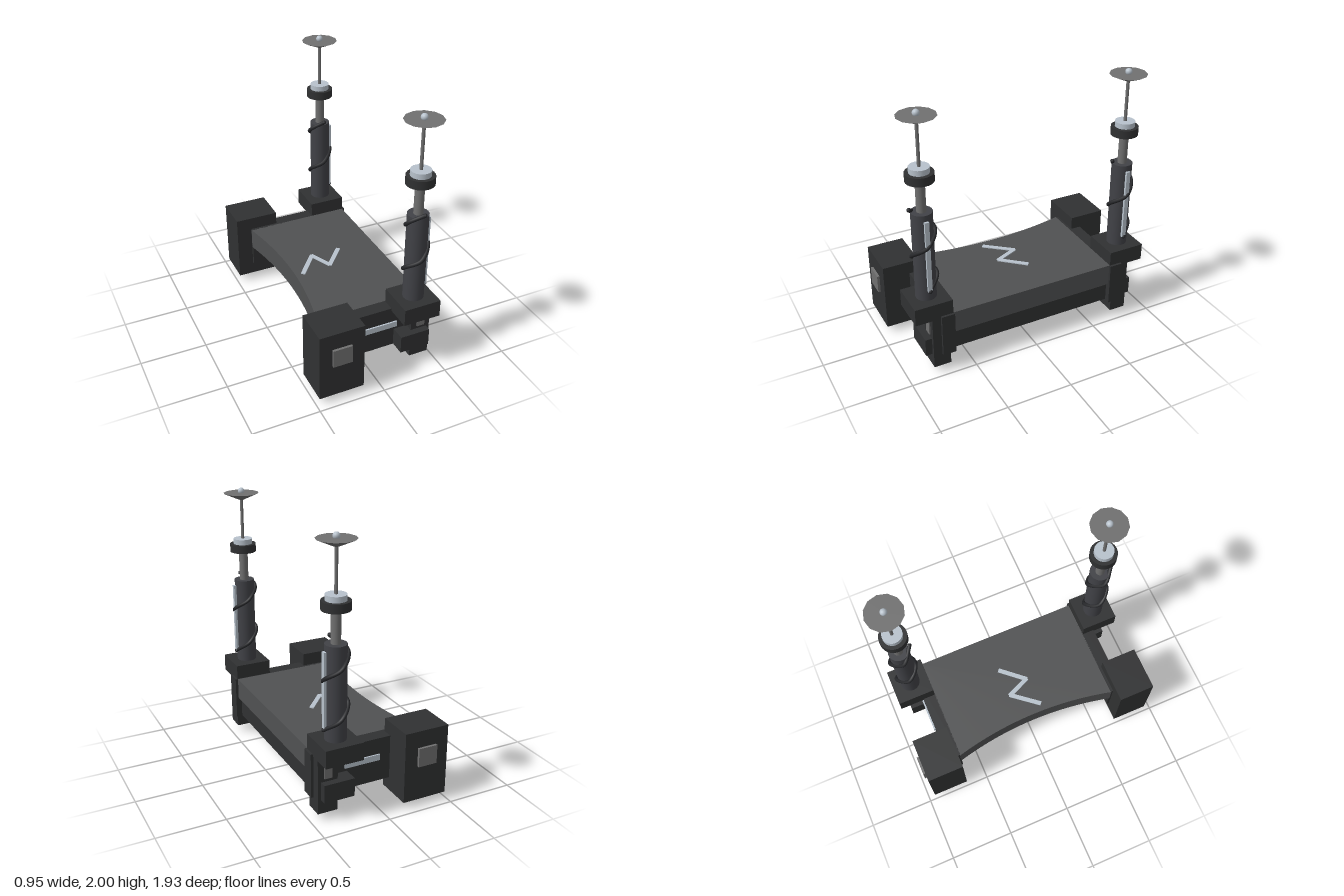
import * as THREE from 'three';

const mat = (color, flatShading = false) => new THREE.MeshStandardMaterial({ color, flatShading });
const dark = mat(0x303132);
const deckGrey = mat(0x505152);
const midGrey = mat(0x707070);
const dishGrey = mat(0x707070, true);
const mastGrey = mat(0x414247);
const light = mat(0xb8c2cc);
const cableBlack = mat(0x26272a);

function add(parent, name, geometry, material, x = 0, y = 0, z = 0) {
  const mesh = new THREE.Mesh(geometry, material);
  mesh.name = name;
  mesh.position.set(x, y, z);
  parent.add(mesh);
  return mesh;
}

// Box given by its limits on each axis
function block(parent, name, material, [x0, x1], [y0, y1], [z0, z1]) {
  return add(parent, name, new THREE.BoxGeometry(x1 - x0, y1 - y0, Math.abs(z1 - z0)), material,
    (x0 + x1) / 2, (y0 + y1) / 2, (z0 + z1) / 2);
}

// Upright cylinder between two heights
function tube(parent, name, material, rTop, rBottom, y0, y1, sides) {
  return add(parent, name, new THREE.CylinderGeometry(rTop, rBottom, y1 - y0, sides), material, 0, (y0 + y1) / 2, 0);
}

// Deck plate with a concave rear edge
function deckGeometry() {
  const shape = new THREE.Shape();
  shape.moveTo(0.455, -0.65);
  shape.lineTo(0.455, 0.65);
  shape.lineTo(-0.365, 0.65);
  shape.quadraticCurveTo(-0.205, 0, -0.365, -0.65);
  shape.closePath();
  const g = new THREE.ExtrudeGeometry(shape, { depth: 0.165, bevelEnabled: false, curveSegments: 24 });
  return g.rotateX(Math.PI / 2).translate(0, 0.49, 0);
}

// Mast with telescoping sections, dish and wound cable
function createMast() {
  const mast = new THREE.Group();
  tube(mast, 'mastTube', mastGrey, 0.076, 0.076, 0.6, 1.275, 24);
  tube(mast, 'upperTube', midGrey, 0.034, 0.034, 1.275, 1.505, 20);
  tube(mast, 'collar', dark, 0.1, 0.1, 1.503, 1.565, 24);
  tube(mast, 'collarRing', light, 0.072, 0.072, 1.565, 1.605, 24);
  tube(mast, 'antennaRod', midGrey, 0.012, 0.012, 1.605, 1.95, 12);
  tube(mast, 'dish', dishGrey, 0.135, 0, 1.9, 1.96, 12);
  add(mast, 'antennaTip', new THREE.SphereGeometry(0.025, 16, 12), light, 0, 1.975, 0);
  block(mast, 'mastLightStrip', light, [0.06, 0.093], [0.68, 1.23], [-0.016, 0.016]);

  // Cable passes one point per quarter turn
  const points = [];
  for (let i = 0; i < 8; i++) {
    const a = i * Math.PI / 2;
    points.push(new THREE.Vector3(0.088 * Math.cos(a), 0.68 + i * 0.089, -0.088 * Math.sin(a)));
  }
  const path = new THREE.CatmullRomCurve3(points);
  add(mast, 'cable', new THREE.TubeGeometry(path, 64, 0.015, 8), cableBlack);
  for (const end of [points[0], points[7]]) {
    add(mast, 'cableEnd', new THREE.SphereGeometry(0.015, 8, 6), cableBlack, end.x, end.y, end.z);
  }
  return mast;
}

// End assembly; s is +1 at the front and -1 at the back
function createEnd(s) {
  const end = new THREE.Group();
  const span = (a, b) => (s > 0 ? [a, b] : [-b, -a]);
  block(end, 'sideRail', dark, [-0.36, 0.475], [0.16, 0.49], span(0.645, 0.745));
  block(end, 'railLight', light, [-0.055, 0.22], [0.325, 0.37], span(0.74, 0.757));
  block(end, 'counterweight', dark, [-0.48, -0.14], [0.06, 0.59], span(0.667, 0.948));
  block(end, 'counterweightPanel', midGrey, [-0.385, -0.24], [0.325, 0.465], span(0.94, 0.967));
  block(end, 'cornerPost', dark, [0.305, 0.455], [0.06, 0.48], span(0.68, 0.81));
  block(end, 'postPanel', midGrey, [0.35, 0.41], [0.325, 0.465], span(0.8, 0.82));
  block(end, 'mastBase', dark, [0.175, 0.457], [0.47, 0.6], span(0.65, 0.933));
  return end;
}

export function createModel() {
  const model = new THREE.Group();
  model.name = 'platform';

  // Central body
  add(model, 'deck', deckGeometry(), deckGrey);
  block(model, 'crossBeam', dark, [0.2, 0.43], [0.165, 0.3], [-0.86, 0.86]);
  block(model, 'underBox', dark, [-0.065, 0.305], [0.085, 0.315], [-0.3, 0.3]);
  const roller = add(model, 'roller', new THREE.CylinderGeometry(0.065, 0.065, 1.17, 24), midGrey, 0.12, 0.065, 0);
  roller.rotation.x = Math.PI / 2;

  // Zigzag strip on the deck
  const zig = [[-0.225, 0.09], [-0.07, -0.1], [0.005, 0.07], [0.155, -0.1]];
  for (let i = 0; i < 3; i++) {
    const [ax, az] = zig[i], [bx, bz] = zig[i + 1];
    const bar = add(model, 'deckStrip', new THREE.BoxGeometry(Math.hypot(bx - ax, bz - az) + 0.015, 0.012, 0.034), light,
      (ax + bx) / 2, 0.491, (az + bz) / 2);
    bar.rotation.y = -Math.atan2(bz - az, bx - ax);
  }

  // Both ends with their masts
  for (const s of [1, -1]) {
    const end = createEnd(s);
    end.name = s > 0 ? 'frontEnd' : 'backEnd';
    const mast = createMast();
    mast.name = s > 0 ? 'frontMast' : 'backMast';
    mast.position.set(0.315, 0, s * 0.792);
    model.add(end, mast);
  }
  return model;
}
